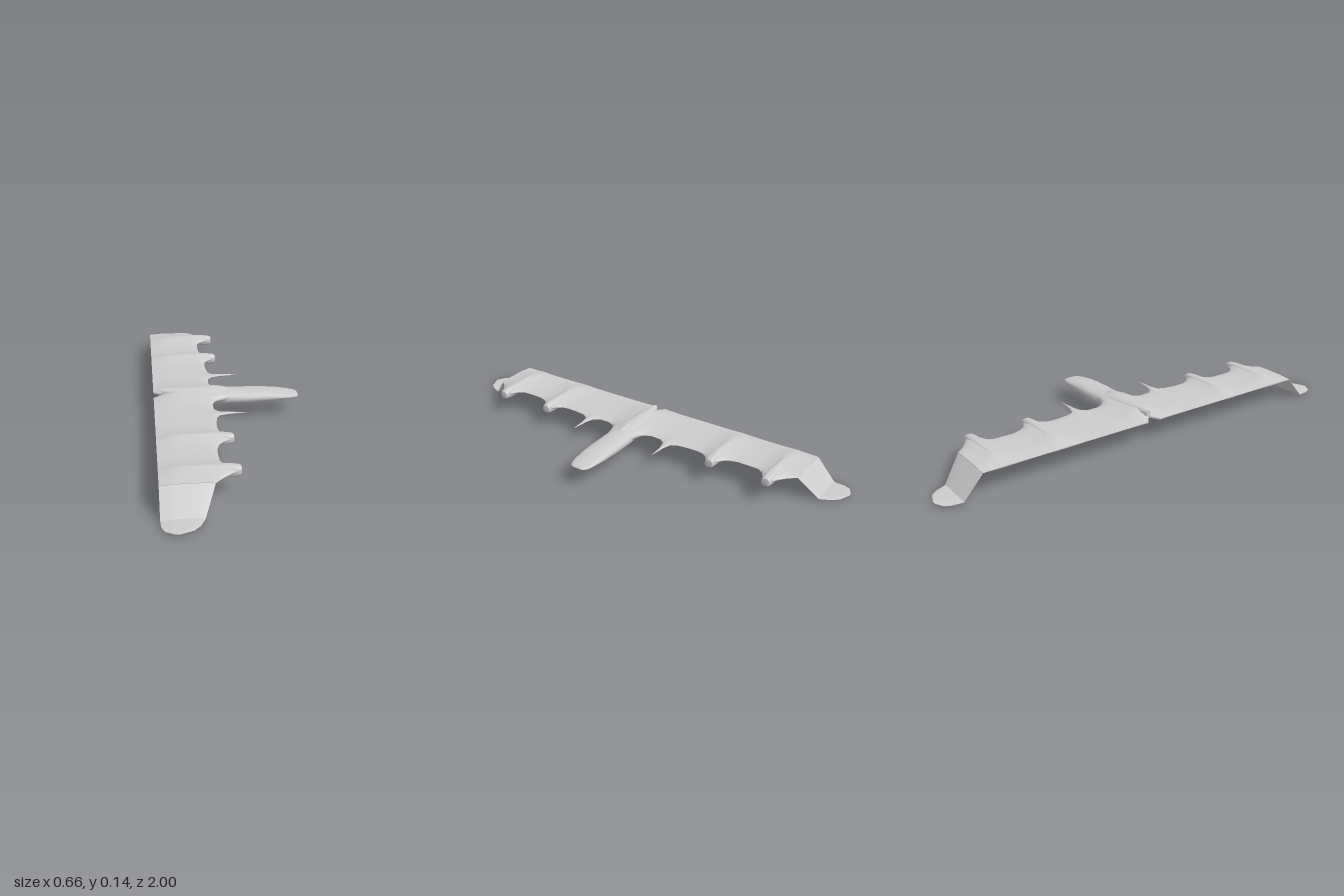
import * as THREE from 'three';
import { toCreasedNormals } from 'three/addons/utils/BufferGeometryUtils.js';

const material = new THREE.MeshStandardMaterial({ color: 0xcccccc });

// Skin a row of closed rings and cap both ends
function loft(name, rings) {
  const n = rings[0].length, pos = [], index = [];
  rings.forEach(r => r.forEach(p => pos.push(...p)));
  for (let j = 0; j < rings.length - 1; j++) {
    for (let i = 0; i < n; i++) {
      const a = j * n + i, b = j * n + (i + 1) % n;
      index.push(a, b, a + n, b, b + n, a + n);
    }
  }
  [0, rings.length - 1].forEach((j, end) => {
    const c = pos.length / 3;
    pos.push(...[0, 1, 2].map(k => rings[j].reduce((s, p) => s + p[k], 0) / n));
    for (let i = 0; i < n; i++) {
      const a = j * n + i, b = j * n + (i + 1) % n;
      if (end) index.push(c, a, b); else index.push(c, b, a);
    }
  });
  const g = new THREE.BufferGeometry();
  g.setAttribute('position', new THREE.Float32BufferAttribute(pos, 3));
  g.setIndex(index);
  const mesh = new THREE.Mesh(toCreasedNormals(g, 0.6), material);
  mesh.name = name;
  return mesh;
}

// Streamlined body along x; sections are [x, half width, top, bottom]
function body(name, sections, z0, power) {
  const sides = 20;
  const round = v => Math.sign(v) * Math.abs(v) ** power;
  return loft(name, sections.map(([x, w, top, bottom]) =>
    Array.from({ length: sides }, (_, i) => {
      const a = (i / sides) * Math.PI * 2;
      return [x, (top + bottom) / 2 + round(Math.sin(a)) * (top - bottom) / 2, z0 - round(Math.cos(a)) * w];
    })));
}

// Swellings of the wing around fuselage and nacelles: [z, reach, above, below]
const swellings = [[0, 0.16, 0.028, 0.03], [0.45, 0.1, 0.019, 0.021], [0.72, 0.1, 0.019, 0.021]];

// Wing section at z as a closed ring: top from front to rear, then back below
function wingRing([z, front, rear, y, thin = 1]) {
  const steps = 12, top = [], under = [];
  let up = 0.005 * thin, down = 0.005 * thin;
  for (const [zc, reach, above, below] of swellings) {
    const f = Math.max(0, 1 - Math.abs(Math.abs(z) - zc) / reach) ** 1.7;
    up += above * f;
    down += below * f;
  }
  for (let i = 0; i <= steps; i++) {
    const t = (1 - Math.cos((i / steps) * Math.PI)) / 2;
    const x = front + (rear - front) * t;
    const nose = Math.min(1, Math.sqrt(t / 0.18));
    const crown = nose * Math.min(1, 0.15 + (1 - t) / 0.3);
    const belly = nose * Math.min(1, 0.08 + (1 - t) / 0.6);
    top.push([x, y + up * crown, z]);
    under.push([x, y - down * belly - 0.0005, z]);
  }
  return [...top, ...under.reverse()];
}

// Half-wing outline: [z, leading edge x]
const outline = [
  [0.03, 0.03], [0.055, 0.02], [0.065, -0.02], [0.075, -0.045], [0.09, -0.06], [0.12, -0.072],
  [0.17, -0.07], [0.195, -0.05], [0.207, -0.01], [0.215, 0.07], [0.223, -0.01], [0.235, -0.05],
  [0.26, -0.065], [0.31, -0.072], [0.36, -0.073], [0.39, -0.067], [0.41, -0.053], [0.428, -0.032],
  [0.45, -0.025], [0.472, -0.032], [0.49, -0.062], [0.515, -0.08], [0.55, -0.09], [0.6, -0.091],
  [0.65, -0.089], [0.675, -0.072], [0.698, -0.035], [0.72, -0.025], [0.742, -0.032], [0.76, -0.06],
  [0.785, -0.09], [0.82, -0.12],
];
// Drooped tip: [z, leading edge x, trailing edge x, y, thickness]
const tip = [
  [0.82, -0.12, -0.33, 0.103], [0.905, -0.165, -0.33, 0.007], [0.95, -0.185, -0.327, 0.008, 0.8],
  [0.98, -0.21, -0.315, 0.009, 0.6], [1, -0.26, -0.28, 0.009, 0.4],
];

export function createModel() {
  const group = new THREE.Group();
  group.name = 'aircraft';
  const flip = list => list.map(([z, ...rest]) => [-z, ...rest]).reverse();

  // Main wing with a notch in the middle of its trailing edge
  const half = outline.map(([z, front]) => [z, front, -0.33, 0.105]);
  const stations = [...flip(half), [0, 0.03, -0.285, 0.107], ...half];
  group.add(loft('wing', stations.map(wingRing)));

  // Drooped wing tips
  group.add(loft('leftWingTip', tip.map(wingRing)));
  group.add(loft('rightWingTip', flip(tip).map(wingRing)));

  // Fuselage with a raised back and a long flattened nose
  group.add(body('fuselage', [
    [-0.29, 0.012, 0.139, 0.1], [-0.24, 0.022, 0.14, 0.088], [-0.15, 0.04, 0.14, 0.071],
    [-0.07, 0.052, 0.139, 0.067], [0, 0.06, 0.126, 0.066], [0.1, 0.061, 0.123, 0.067],
    [0.16, 0.06, 0.121, 0.07], [0.22, 0.058, 0.115, 0.075], [0.28, 0.052, 0.105, 0.081],
    [0.31, 0.044, 0.099, 0.085], [0.323, 0.034, 0.096, 0.087], [0.328, 0.024, 0.093, 0.089],
  ], 0, 0.85));

  // Four blunt engine nacelles on the leading edge
  for (const z of [-0.72, -0.45, 0.45, 0.72]) {
    group.add(body('nacelle', [
      [-0.3, 0.008, 0.114, 0.099], [-0.2, 0.02, 0.129, 0.088], [-0.1, 0.026, 0.13, 0.078],
      [-0.05, 0.024, 0.127, 0.077], [-0.022, 0.021, 0.123, 0.079], [-0.014, 0.018, 0.119, 0.083],
      [-0.012, 0.012, 0.113, 0.089],
    ], z, 0.75));
  }
  return group;
}
